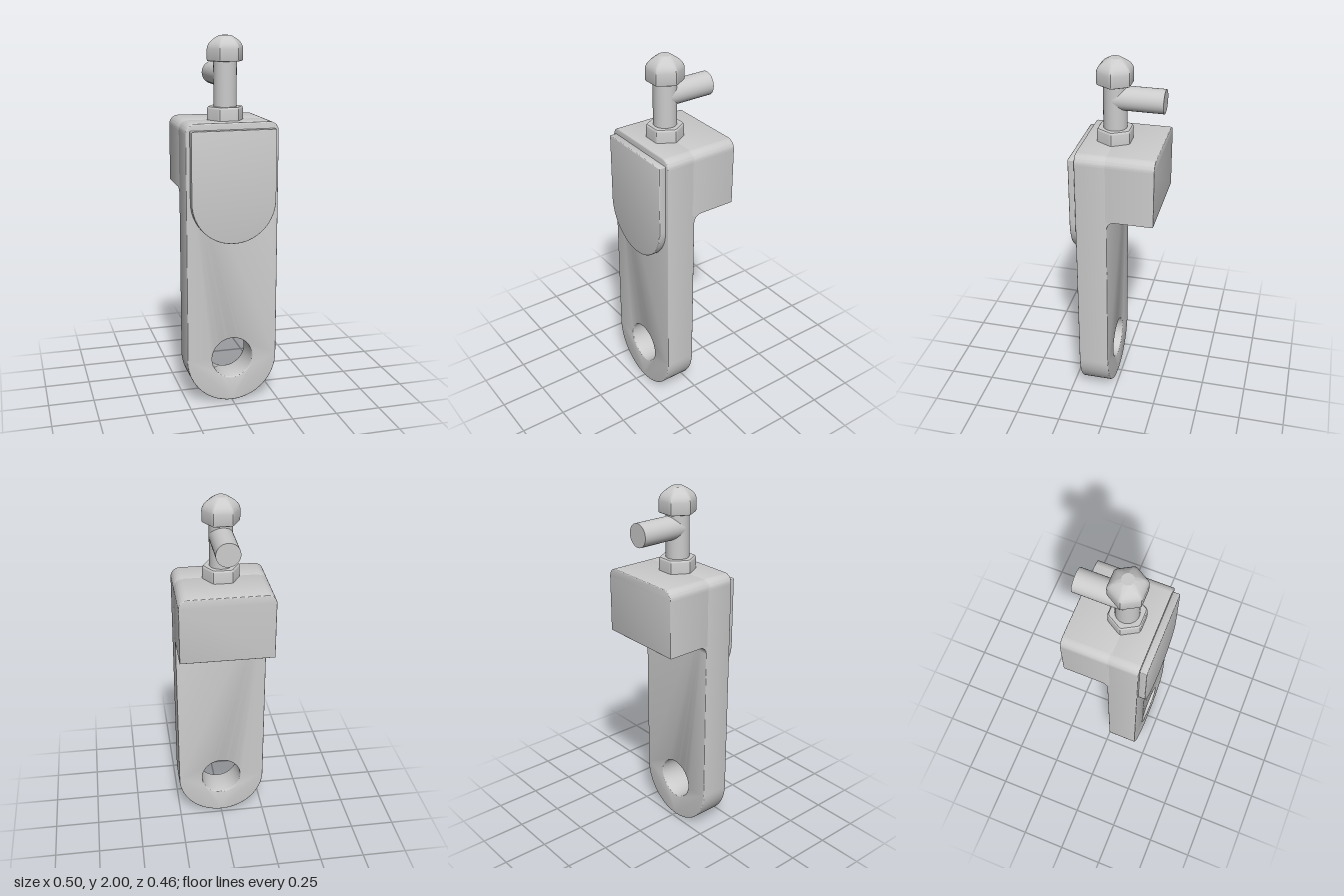
import * as THREE from 'three';
import { toCreasedNormals } from 'three/addons/utils/BufferGeometryUtils.js';

const grey = new THREE.MeshStandardMaterial({ color: 0xcccccc });
const STUD_Z = 0.033;

function add(group, name, geometry, x = 0, y = 0, z = 0) {
  const mesh = new THREE.Mesh(geometry, grey);
  mesh.name = name;
  mesh.position.set(x, y, z);
  group.add(mesh);
  return mesh;
}

// Extrudes a front-view shape between two z values with softened edges.
function slab(shape, z0, z1, bevel) {
  const geo = new THREE.ExtrudeGeometry(shape, {
    depth: z1 - z0 - 2 * bevel, curveSegments: 32, bevelEnabled: bevel > 0,
    bevelThickness: bevel, bevelSize: bevel, bevelOffset: -bevel, bevelSegments: 3,
  });
  geo.translate(0, 0, z0 + bevel);
  return toCreasedNormals(geo, 0.6);
}

// Outline with rounded top corners and either a round or a flat bottom.
function outline(w, bottom, top, corner, roundBottom) {
  const s = new THREE.Shape();
  if (roundBottom) {
    s.moveTo(-w, bottom + w);
    s.absarc(0, bottom + w, w, Math.PI, 2 * Math.PI, false);
  } else {
    s.moveTo(-w, bottom);
    s.lineTo(w, bottom);
  }
  s.lineTo(w, top - corner);
  s.absarc(w - corner, top - corner, corner, 0, Math.PI / 2, false);
  s.lineTo(-w + corner, top);
  s.absarc(-w + corner, top - corner, corner, Math.PI / 2, Math.PI, false);
  s.closePath();
  return s;
}

// Lofts hexagonal rings [y, scale, roundness] with softened corners.
function hexLoft(rings) {
  const n = 72, pos = [], idx = [];
  rings.forEach(([y, scale, round]) => {
    for (let i = 0; i < n; i++) {
      const a = (i / n) * Math.PI * 2;
      const d = (a % (Math.PI / 3)) - Math.PI / 6;
      const hex = Math.min(0.088 / Math.cos(d), 0.099);
      const r = scale * THREE.MathUtils.lerp(hex, 0.099, round);
      pos.push(r * Math.cos(a), y, r * Math.sin(a));
    }
  });
  for (let j = 0; j < rings.length - 1; j++) {
    for (let i = 0; i < n; i++) {
      const k = (i + 1) % n;
      const a = j * n + i, b = j * n + k, c = a + n, d = b + n;
      if (rings[j][1] > 0) idx.push(a, c, b);
      if (rings[j + 1][1] > 0) idx.push(b, c, d);
      else if (rings[j][1] > 0) idx.splice(idx.length - 3, 3, a, c, b);
    }
  }
  const geo = new THREE.BufferGeometry();
  geo.setAttribute('position', new THREE.Float32BufferAttribute(pos, 3));
  geo.setIndex(idx);
  return toCreasedNormals(geo, 0.5);
}

export function createModel() {
  const model = new THREE.Group();
  model.name = 'clampBracket';

  // Long plate with a round lower end and a through hole
  const plate = outline(0.252, 0.005, 1.56, 0.05, true);
  const hole = new THREE.Path();
  hole.absarc(0, 0.257, 0.114, 0, Math.PI * 2, true);
  plate.holes.push(hole);
  add(model, 'plate', slab(plate, 0.021, 0.19, 0.006));

  // Head block projecting to the back
  add(model, 'headBlock', slab(outline(0.252, 1.198, 1.56, 0.05, false), -0.225, 0.04, 0.004));

  // Concave fillet under the block
  const cove = new THREE.Shape();
  cove.moveTo(0.03, 1.205);
  cove.lineTo(-0.022, 1.205);
  cove.lineTo(-0.022, 1.198);
  cove.absarc(-0.022, 1.155, 0.043, Math.PI / 2, 0, true);
  cove.lineTo(0.03, 1.155);
  cove.closePath();
  const fillet = new THREE.ExtrudeGeometry(cove, { depth: 0.502, bevelEnabled: false, curveSegments: 12 });
  fillet.rotateY(-Math.PI / 2);
  fillet.translate(0.251, 0, 0);
  add(model, 'fillet', toCreasedNormals(fillet, 0.6));

  // Raised pad on the front face
  add(model, 'frontPad', slab(outline(0.23, 0.92, 1.525, 0.004, true), 0.185, 0.228, 0.004));

  // Upright stud with lock nut and domed cap nut
  add(model, 'stud', new THREE.CylinderGeometry(0.062, 0.062, 0.36, 48), 0, 1.72, STUD_Z);
  add(model, 'lockNut', hexLoft([
    [1.555, 0, 0], [1.555, 1, 0], [1.618, 1, 0], [1.625, 0.98, 0], [1.63, 0.93, 0], [1.63, 0, 0],
  ]), 0, 0, STUD_Z);
  add(model, 'capNut', hexLoft([
    [1.867, 0, 0], [1.867, 0.95, 0], [1.869, 0.98, 0], [1.875, 1, 0], [1.93, 1, 0],
    [1.945, 0.97, 0], [1.96, 0.88, 0], [1.975, 0.73, 0.05], [1.988, 0.53, 0.3],
    [2.0, 0.31, 1], [2.0, 0, 1],
  ]), 0, 0, STUD_Z);

  // Cross pin running to the back
  const pin = new THREE.CylinderGeometry(0.063, 0.063, 0.261, 48);
  pin.rotateX(Math.PI / 2);
  add(model, 'crossPin', pin, 0, 1.79, STUD_Z - 0.1305);

  // Rest the round end on the ground
  model.children.forEach((part) => { if (part.name === 'plate') part.position.y = -0.005 + 0.005; });
  const box = new THREE.Box3().setFromObject(model);
  model.children.forEach((part) => { part.position.y -= box.min.y; });
  return model;
}
